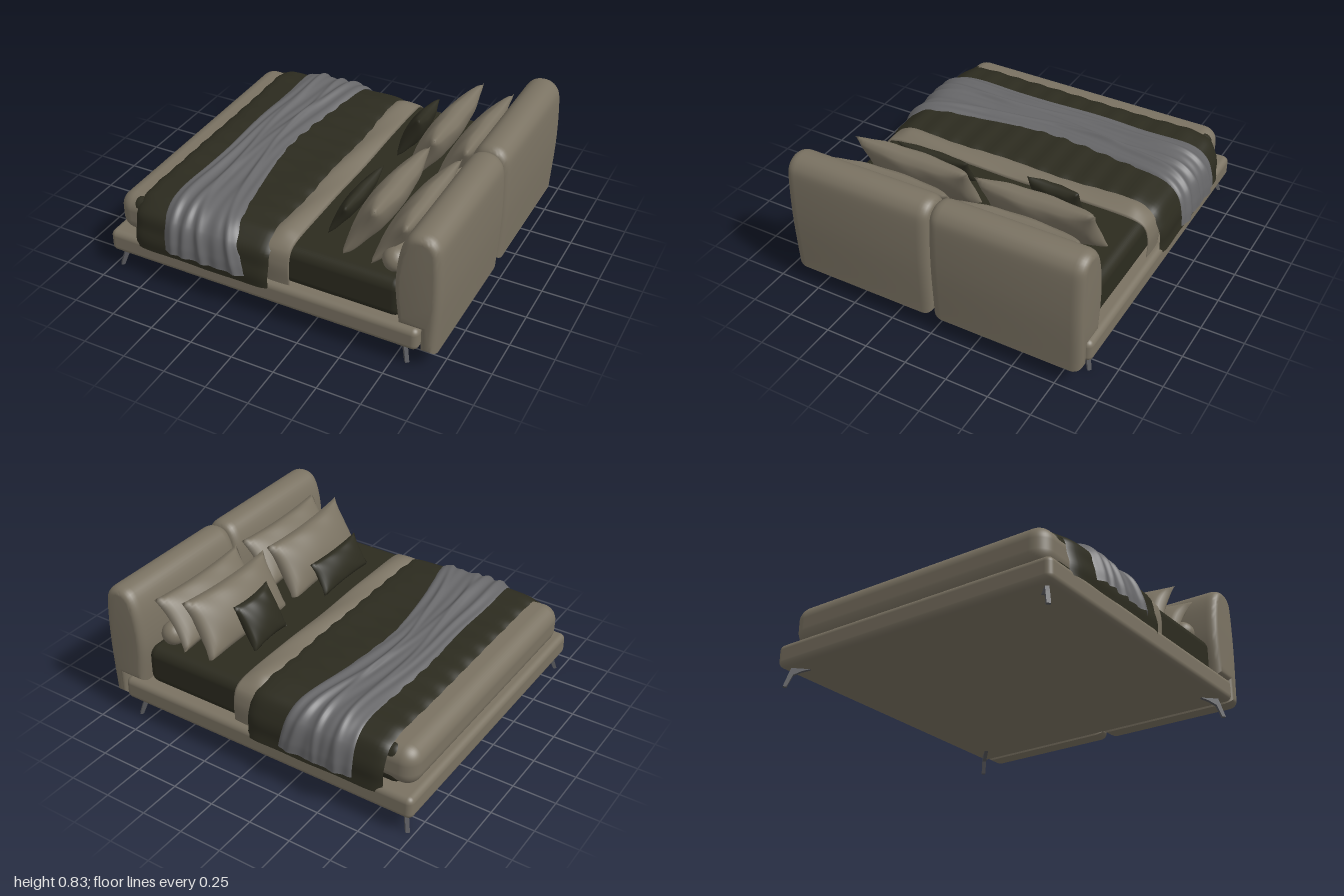
import * as THREE from 'three';
import { mergeGeometries, mergeVertices, toCreasedNormals } from 'three/addons/utils/BufferGeometryUtils.js';
import { RoundedBoxGeometry } from 'three/addons/geometries/RoundedBoxGeometry.js';
import { ParametricGeometry } from 'three/addons/geometries/ParametricGeometry.js';

const mat = (name, color, side = THREE.FrontSide) => {
  const m = new THREE.MeshStandardMaterial({ color, side });
  m.name = name;
  return m;
};

export function createModel() {
  const group = new THREE.Group();
  const beige = mat('beige fabric', 0x7a7262, THREE.DoubleSide);
  const dark = mat('dark olive fabric', 0x2c2b1f, THREE.DoubleSide);
  const grey = mat('grey throw', 0x666668, THREE.DoubleSide);
  const metal = mat('leg metal', 0x56575b);

  const add = (name, geometry, material, x = 0, y = 0, z = 0) => {
    const mesh = new THREE.Mesh(geometry, material);
    mesh.name = name;
    mesh.position.set(x, y, z);
    group.add(mesh);
    return mesh;
  };

  // Weld a geometry and smooth everything below the crease angle
  const smooth = (g, crease) => {
    g.deleteAttribute('uv');
    g.deleteAttribute('normal');
    const welded = mergeVertices(g, 1e-4);
    if (crease) return toCreasedNormals(welded, crease);
    welded.computeVertexNormals();
    return welded;
  };

  // Platform, mattress and duvet
  add('bedBase', new RoundedBoxGeometry(1.89, 0.135, 1.8, 5, 0.035), beige, -0.055, 0.1775, 0);
  add('mattress', new RoundedBoxGeometry(1.66, 0.24, 1.67, 5, 0.06), dark, -0.06, 0.345, 0.005);
  add('duvet', new RoundedBoxGeometry(1.03, 0.24, 1.68, 6, 0.09), beige, -0.455, 0.35, 0.005);

  // Headboard: two bulging cushions stepped over the end of the platform
  const profile = new THREE.Shape();
  profile.moveTo(0.93, 0.15);
  profile.lineTo(0.945, 0.15);
  profile.splineThru([
    [0.958, 0.45], [0.95, 0.7], [0.93, 0.77], [0.88, 0.79],
    [0.83, 0.765], [0.795, 0.66], [0.78, 0.48], [0.8, 0.285],
  ].map(([x, y]) => new THREE.Vector2(x, y)));
  profile.lineTo(0.93, 0.285);
  const cushion = smooth(new THREE.ExtrudeGeometry(profile, {
    depth: 0.768, bevelThickness: 0.06, bevelSize: 0.04, bevelSegments: 6, curveSegments: 5,
  }), 0.7);
  add('headboardLeft', cushion, beige, 0, 0, 0.064);
  add('headboardRight', cushion, beige, 0, 0, -0.828);

  // Splayed bracket legs, one per corner
  const legShape = new THREE.Shape([
    [0, 0.115], [0.06, 0.095], [0.105, 0.07], [0.135, 0],
    [0.155, 0], [0.13, 0.075], [0.115, 0.115],
  ].map(([x, y]) => new THREE.Vector2(x, y)));
  const legGeo = new THREE.ExtrudeGeometry(legShape, { depth: 0.022, bevelEnabled: false });
  legGeo.translate(0, 0, -0.011);
  for (const [x, sx] of [[-0.86, -1], [0.72, 1]]) {
    for (const sz of [-1, 1]) {
      add('leg', legGeo, metal, x, 0, sz * 0.76).rotation.y = Math.atan2(-sz, sx);
    }
  }

  // Cloth hung across the bed. half: [z, y] from hem to centre.
  // left/right give x edges and lift gives the folds, from t = -1..1 along z
  const drape = (half, left, right, lift, across) => {
    const pts = half.map(([z, y]) => new THREE.Vector3(0, y, z));
    const mirrored = pts.map((p) => new THREE.Vector3(0, p.y, -p.z));
    const curve = new THREE.CatmullRomCurve3([...mirrored, ...pts.slice(0, -1).reverse()]);
    return new ParametricGeometry((u, v, target) => {
      const p = curve.getPointAt(u), d = curve.getTangentAt(u);
      const t = u * 2 - 1;
      const h = lift(v, t);
      target.set(THREE.MathUtils.lerp(left(t), right(t), v), p.y + d.z * h, p.z - d.y * h);
    }, 140, across);
  };
  const hemCurl = (v, depth) => depth * Math.abs(2 * v - 1) ** 14;

  // Turned-back duvet edge
  add('duvetFold', drape(
    [[0.858, 0.24], [0.86, 0.37], [0.835, 0.445], [0.77, 0.475], [0.4, 0.478], [0, 0.478]],
    () => -0.02, () => 0.135,
    (v, t) => {
      const top = THREE.MathUtils.smoothstep(0.8 - Math.abs(t), 0, 0.12);
      return Math.sin(Math.PI * v) ** 0.6 * (0.005 + 0.022 * top) + 0.004 * top * Math.sin(t * 9 + v * 5);
    }, 14), beige, 0, 0, 0.003);

  // Dark quilted blanket
  add('blanket', drape(
    [[0.908, 0.21], [0.9, 0.32], [0.865, 0.43], [0.78, 0.488], [0.4, 0.498], [0, 0.498]],
    () => -0.82, () => 0.022,
    (v, t) => 0.003 * Math.sin(t * 48) + 0.002 * Math.sin(v * 14 + t * 6) - hemCurl(v, 0.02) + 0.006 * v,
    30), dark, 0, 0, 0.005);

  // Grey throw, gathered near the middle and fanning out at its ends
  add('throw', drape(
    [[0.932, 0.26], [0.924, 0.33], [0.885, 0.44], [0.79, 0.508], [0.4, 0.514], [0, 0.514]],
    (t) => -0.65 + 0.03 * Math.max(t, 0) ** 2 + 0.008 * Math.sin(t * 8),
    (t) => (t > 0 ? -0.33 + 0.22 * t ** 1.5 : -0.33 + 0.13 * Math.abs(t) ** 1.3),
    (v, t) => {
      const ridge = (c, slope, w) => Math.exp(-(((v - c - slope * t) / w) ** 2));
      return 0.011 * ridge(0.35, 0.15, 0.05) + 0.013 * ridge(0.55, -0.3, 0.06)
        + 0.011 * ridge(0.7, 0.2, 0.045) + 0.01 * ridge(0.2, -0.08, 0.05)
        + 0.003 * Math.sin(v * 32 + t * 5) - hemCurl(v, 0.014);
    }, 60), grey);

  // Pillows: two puffed sheets with pinched corners, leaning toward the headboard
  const pillow = (name, material, x, y, z, width, height, puff, tilt, twist = 0) => {
    const sheets = [0, Math.PI].map((turn) => {
      const g = new THREE.PlaneGeometry(2, 2, 28, 20);
      const p = g.attributes.position;
      for (let i = 0; i < p.count; i++) {
        const u = p.getX(i), v = p.getY(i);
        const inner = Math.max(0, (1 - u * u) * (1 - v * v));
        const crease = 1 + 0.07 * Math.sin(u * 9 + v * 4) * (u * u + v * v);
        p.setXYZ(i,
          (width / 2) * u * (1 - 0.07 * (1 - v * v)),
          (height / 2) * v * (1 - 0.09 * (1 - u * u)),
          puff * inner ** 0.45 * crease);
      }
      return g.rotateY(turn);
    });
    const geo = smooth(mergeGeometries(sheets)).rotateZ(twist).rotateY(-Math.PI / 2);
    add(name, geo, material, x, y, z).rotation.z = -tilt;
  };
  for (const s of [-1, 1]) {
    pillow('backPillow', beige, 0.645, 0.6, s * 0.39, 0.73, 0.34, 0.07, 0.6);
    pillow('frontPillow', beige, 0.465, 0.605, s * 0.382, 0.72, 0.37, 0.085, 0.5, 0.02 * s);
  }
  pillow('squareCushion', dark, 0.3, 0.59, -0.385, 0.31, 0.29, 0.055, 0.45, 0.04);
  pillow('lumbarCushion', dark, 0.285, 0.555, 0.385, 0.47, 0.21, 0.045, 0.5);

  // Bolster behind the pillows, with rounded ends
  const bolster = new THREE.CapsuleGeometry(0.07, 1.4, 6, 24).rotateX(Math.PI / 2);
  add('bolster', bolster, beige, 0.675, 0.515, 0.01);

  return group;
}
